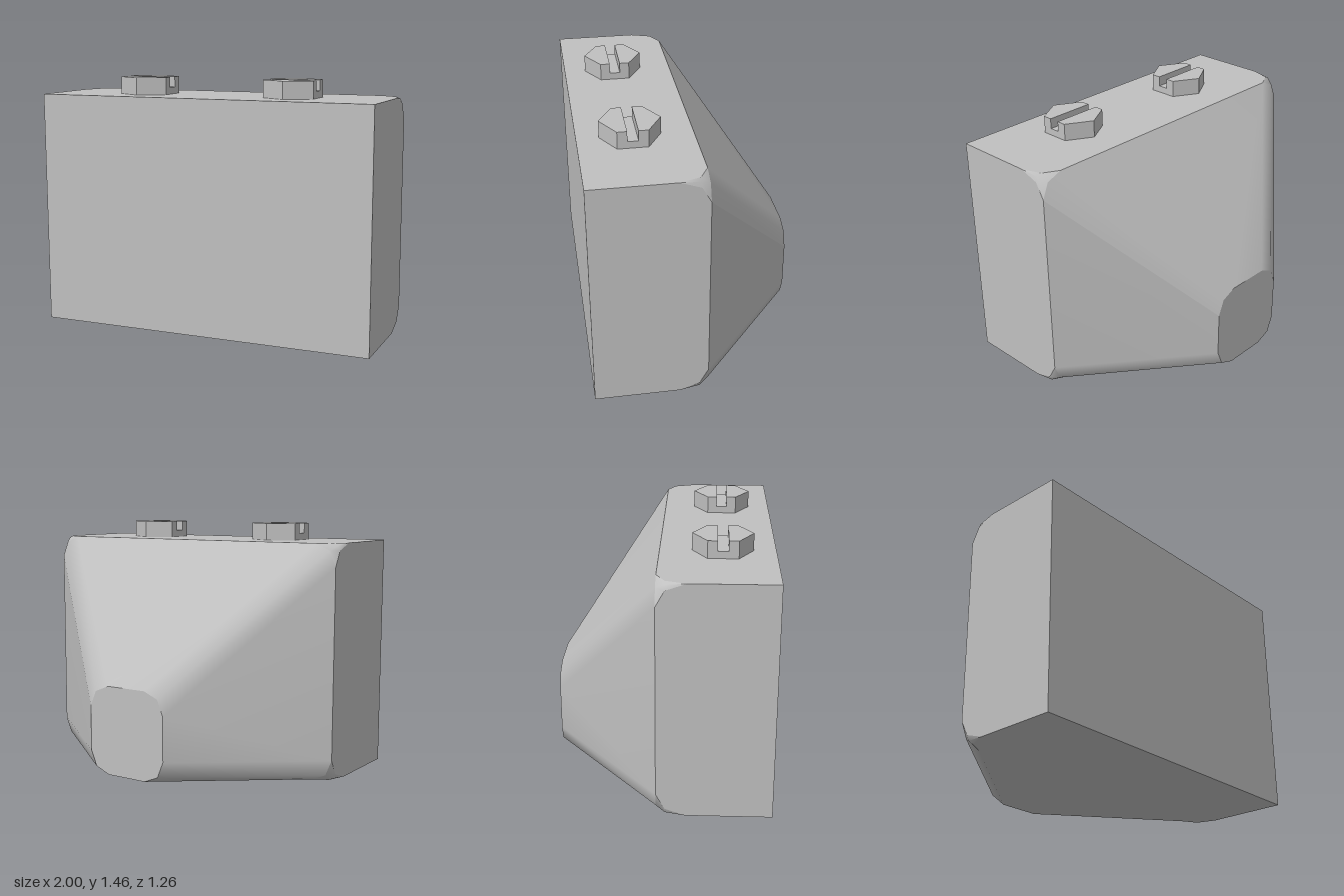
import * as THREE from 'three';

const STEPS = 2;               // segments per rounded corner
const PER = STEPS + 1;         // points per corner
const COUNT = PER * 4;         // points per cross-section

// Rounded rectangle cross-section at depth z, counter-clockwise seen from the front
function section(z, halfWidth, bottom, top, r) {
  const points = [];
  for (let c = 0; c < 4; c++) {
    const cx = (c === 0 || c === 3 ? 1 : -1) * (halfWidth - r);
    const cy = c < 2 ? top - r : bottom + r;
    for (let s = 0; s <= STEPS; s++) {
      const a = (c + s / STEPS) * Math.PI / 2;
      points.push([cx + r * Math.cos(a), cy + r * Math.sin(a), z]);
    }
  }
  return points;
}

// Surface through the sections, from point index start over a number of spans
function loft(sections, start, spans) {
  const pos = [], index = [], row = spans + 1;
  for (const s of sections) {
    for (let k = 0; k <= spans; k++) pos.push(...s[(start + k) % COUNT]);
  }
  for (let i = 0; i < sections.length - 1; i++) {
    for (let k = 0; k < spans; k++) {
      const a = i * row + k, b = a + 1, c = a + row, d = c + 1;
      index.push(a, c, b, b, c, d);
    }
  }
  return finish(pos, index);
}

// Flat end face
function cap(points, backwards) {
  const index = [];
  for (let k = 1; k < points.length - 1; k++) {
    index.push(0, ...(backwards ? [k + 1, k] : [k, k + 1]));
  }
  return finish(points.flat(), index);
}

function finish(pos, index) {
  const g = new THREE.BufferGeometry();
  g.setAttribute('position', new THREE.Float32BufferAttribute(pos, 3));
  g.setIndex(index);
  g.computeVertexNormals();
  return g;
}

// Upright prism from an outline in x and z
function prism(outline, y, height) {
  const shape = new THREE.Shape(outline.map(([x, z]) => new THREE.Vector2(x, -z)));
  return new THREE.ExtrudeGeometry(shape, { depth: height, bevelEnabled: false })
    .rotateX(-Math.PI / 2).translate(0, y, 0);
}

export function createModel() {
  const model = new THREE.Group();
  model.name = 'taperedBlock';
  const grey = new THREE.MeshStandardMaterial({ color: 0xc0c0c0 });
  grey.name = 'light grey';
  const add = (parent, name, geometry) => {
    const mesh = new THREE.Mesh(geometry, grey);
    mesh.name = name;
    parent.add(mesh);
    return mesh;
  };

  const H = 1.36;
  const front = section(0.63, 1, 0, H, 0);
  const bevelStart = section(0.15, 1, 0, H, 0);
  const bevelMiddle = section(0.035, 1, 0, H, 0.04);
  const shoulder = section(-0.015, 1, 0, H, 0.13);
  const tip = section(-0.63, 0.26, 0.01, 0.535, 0.13);

  // Square front block with corners that round off towards the shoulder
  const body = new THREE.Group();
  body.name = 'body';
  model.add(body);
  add(body, 'frontFace', cap([0, 1, 2, 3].map(c => front[c * PER]), false));
  ['top', 'right', 'bottom', 'left'].forEach((side, c) => {
    const flat = c * PER + STEPS;
    add(body, side + 'Wall', loft([front, bevelStart, bevelMiddle, shoulder], flat, 1));
    add(body, 'cornerBevel' + (c + 1), loft([bevelStart, bevelMiddle, shoulder], c * PER, STEPS));
  });

  // Tapered back with smooth rounded edges
  const taper = new THREE.Group();
  taper.name = 'taperedBack';
  model.add(taper);
  add(taper, 'taperSurface', loft([shoulder, tip], 0, COUNT));
  add(taper, 'backFace', cap(tip, true));

  // Slotted hexagonal bolt heads
  const R = 0.17, W = R * Math.cos(Math.PI / 6), slot = 0.03;
  const hexagon = [[0, R], [W, R / 2], [W, -R / 2], [0, -R], [-W, -R / 2], [-W, R / 2]];
  for (const side of [-1, 1]) {
    const bolt = new THREE.Group();
    bolt.name = side < 0 ? 'rightBolt' : 'leftBolt';
    bolt.position.set(side * 0.45, H, 0.335);
    add(bolt, 'boltBase', prism(hexagon, 0, 0.04));
    for (const s of [-1, 1]) {
      const half = [[-W, s * slot], [W, s * slot], [W, s * R / 2], [0, s * R], [-W, s * R / 2]];
      add(bolt, s < 0 ? 'boltBackHalf' : 'boltFrontHalf', prism(half, 0.04, 0.06));
    }
    model.add(bolt);
  }
  return model;
}
